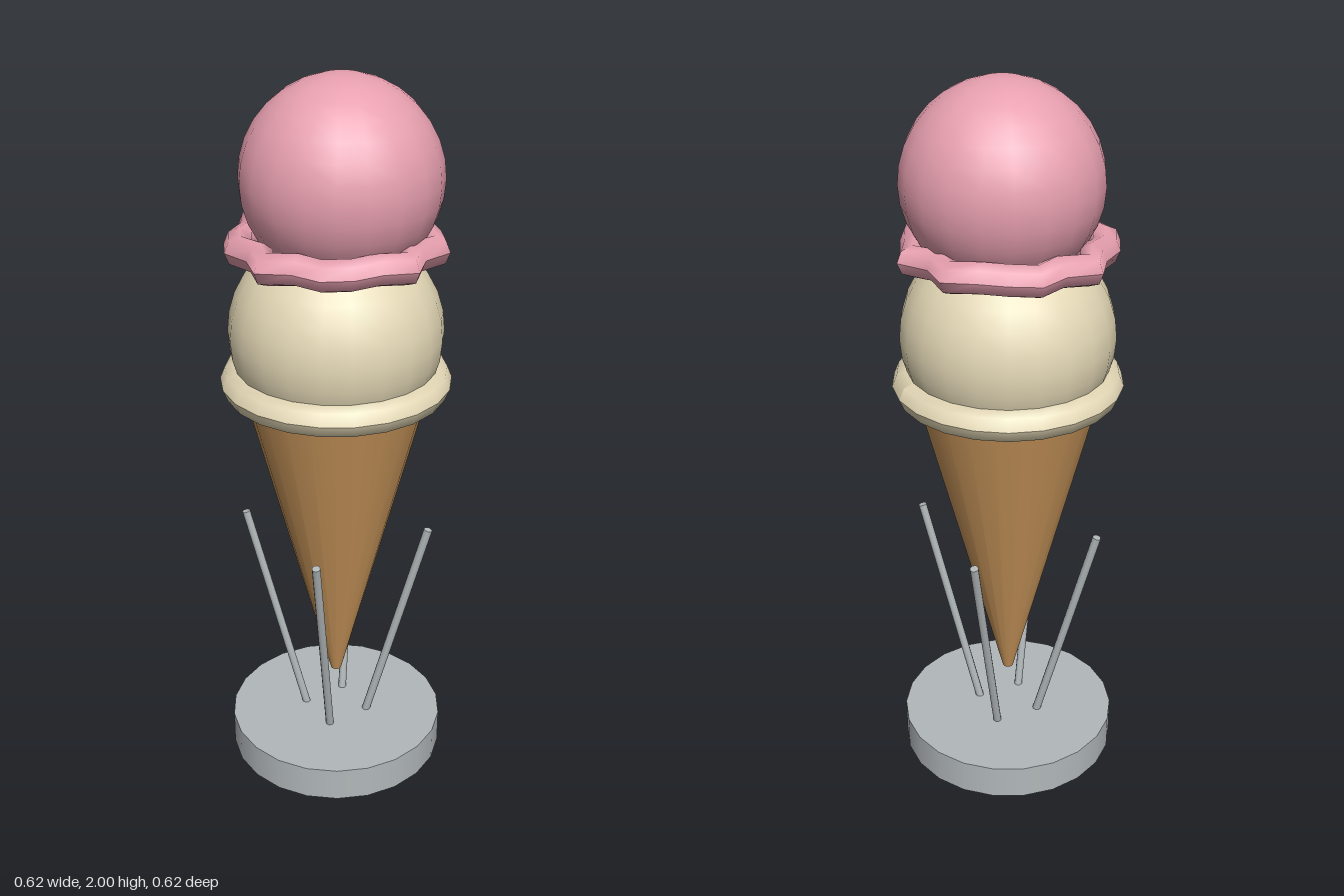
import * as THREE from 'three';

const material = (name, color) => {
  const m = new THREE.MeshStandardMaterial({ color });
  m.name = name;
  return m;
};

export function createModel() {
  const group = new THREE.Group();
  group.name = 'iceCreamConeOnStand';
  const pink = material('strawberryPink', 0xe8a0b0);
  const cream = material('vanillaCream', 0xe4d8b6);
  const wafer = material('waferBrown', 0xc8955a);
  const metal = material('metalGrey', 0xb2b8ba);

  const add = (name, geometry, mat, x = 0, y = 0, z = 0) => {
    const mesh = new THREE.Mesh(geometry, mat);
    mesh.name = name;
    mesh.position.set(x, y, z);
    group.add(mesh);
    return mesh;
  };

  // Horizontal ring; wave shifts each cross-section in or out
  const ring = (radius, tube, wave = () => 0) => {
    const g = new THREE.TorusGeometry(radius, tube, 8, 22).rotateX(Math.PI / 2);
    const p = g.attributes.position;
    for (let i = 0; i < p.count; i++) {
      const x = p.getX(i), z = p.getZ(i);
      const r = Math.hypot(x, z);
      const k = (r + wave(Math.atan2(z, x))) / r;
      p.setX(i, x * k);
      p.setZ(i, z * k);
    }
    g.computeVertexNormals();
    return g;
  };

  // Round base
  add('base', new THREE.CylinderGeometry(0.31, 0.31, 0.1, 22), metal, 0, 0.05, 0);

  // Four rods leaning outwards at the corners
  const up = new THREE.Vector3(0, 1, 0);
  for (const sx of [-1, 1]) {
    for (const sz of [-1, 1]) {
      const low = new THREE.Vector3(sx * 0.056, 0.05, sz * 0.056);
      const high = new THREE.Vector3(sx * 0.186, 0.745, sz * 0.186);
      const dir = high.clone().sub(low);
      const mid = low.clone().add(high).multiplyScalar(0.5);
      const rod = add('supportRod', new THREE.CylinderGeometry(0.012, 0.012, dir.length(), 8), metal, mid.x, mid.y, mid.z);
      rod.quaternion.setFromUnitVectors(up, dir.normalize());
    }
  }

  // Tapered wafer cone with a small blunt tip
  add('cone', new THREE.CylinderGeometry(0.26, 0.015, 0.96, 22), wafer, 0, 0.72, 0);

  // Lower scoop and its rim
  add('lowerScoop', new THREE.SphereGeometry(0.287, 22, 16), cream, 0, 1.325, 0);
  add('lowerScoopRim', ring(0.266, 0.045), cream, 0, 1.19, 0);

  // Upper scoop, slightly off centre, with a ruffled skirt
  add('upperScoop', new THREE.SphereGeometry(0.263, 20, 16), pink, 0.012, 1.737, 0.007);
  add('upperScoopRuffle', ring(0.243, 0.042, (a) => 0.022 * Math.sin(9 * a + 1)), pink, 0, 1.568, 0);

  return group;
}
